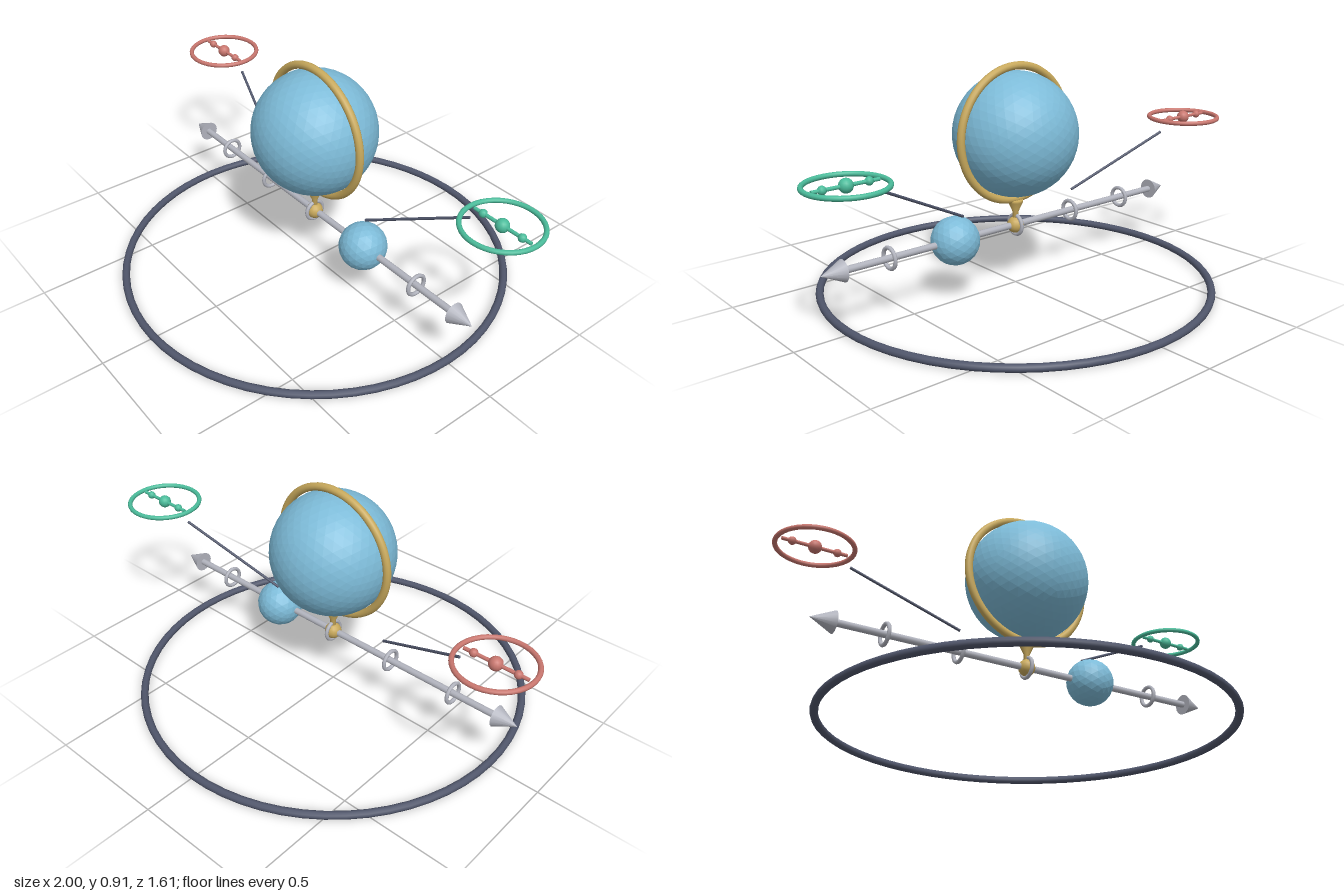
import * as THREE from 'three';

function makeMaterial(name, color, flatShading = false) {
  const m = new THREE.MeshStandardMaterial({ color, flatShading });
  m.name = name;
  return m;
}

export function createModel() {
  const blue = makeMaterial('sky blue', 0x7dbbd8, true);
  const gold = makeMaterial('brass', 0xc8a95c);
  const silver = makeMaterial('silver', 0xb2b4be);
  const slate = makeMaterial('slate', 0x50566b);
  const red = makeMaterial('coral red', 0xc9776f);
  const green = makeMaterial('sea green', 0x4bbc9b);

  const model = new THREE.Group();
  model.name = 'orbitInstrument';

  function add(parent, name, geometry, material, x = 0, y = 0, z = 0) {
    const mesh = new THREE.Mesh(geometry, material);
    mesh.name = name;
    mesh.position.set(x, y, z);
    parent.add(mesh);
    return mesh;
  }

  // Rod between two points
  function rod(parent, name, from, to, radius, material) {
    const a = new THREE.Vector3(...from), b = new THREE.Vector3(...to);
    const mesh = add(parent, name, new THREE.CylinderGeometry(radius, radius, a.distanceTo(b), 12), material);
    mesh.position.copy(a).add(b).multiplyScalar(0.5);
    mesh.quaternion.setFromUnitVectors(new THREE.Vector3(0, 1, 0), b.sub(a).normalize());
    return mesh;
  }

  // Flat ring on the ground
  add(model, 'baseRing', new THREE.TorusGeometry(0.789, 0.0155, 10, 64), slate, 0, 0.0165, 0).rotation.x = Math.PI / 2;

  // Globe in its upright brass ring
  add(model, 'globe', new THREE.IcosahedronGeometry(0.25, 7), blue, 0, 0.625, 0);
  add(model, 'globeRing', new THREE.TorusGeometry(0.268, 0.016, 12, 64), gold, 0, 0.627, 0);

  // Flared neck and hub joining the globe to the bar
  const neckProfile = [[0, 0.26], [0.012, 0.26], [0.012, 0.305], [0.03, 0.345], [0.03, 0.355], [0, 0.355]]
    .map(([x, y]) => new THREE.Vector2(x, y));
  add(model, 'neck', new THREE.LatheGeometry(neckProfile, 16), gold);
  add(model, 'hub', new THREE.SphereGeometry(0.034, 16, 10), gold, 0, 0.25, 0);

  // Horizontal bar with pointed ends, collars and a sliding ball
  const barY = 0.25;
  rod(model, 'bar', [-0.8, barY, 0], [0.8, barY, 0], 0.0135, silver);
  for (const side of [-1, 1]) {
    const tip = add(model, 'barTip', new THREE.ConeGeometry(0.043, 0.09, 16), silver, side * 0.837, barY, 0);
    tip.rotation.z = -side * Math.PI / 2;
  }
  for (const x of [-0.6, -0.3, 0, 0.3, 0.6]) {
    add(model, 'collar', new THREE.TorusGeometry(0.04, 0.008, 8, 24), silver, x, barY, 0).rotation.y = Math.PI / 2;
  }
  add(model, 'slidingBall', new THREE.IcosahedronGeometry(0.096, 3), blue, 0.302, barY, 0);

  // Side dials: a flat ring around a small beaded bar, with a slanted pointer rod
  for (const [side, material, label] of [[-1, red, 'right'], [1, green, 'left']]) {
    const dial = new THREE.Group();
    dial.name = label + 'Dial';
    dial.position.set(side * 0.843, 0.602, -0.141);
    model.add(dial);
    add(dial, 'dialRing', new THREE.TorusGeometry(0.147, 0.0095, 10, 40), material).rotation.x = Math.PI / 2;
    rod(dial, 'dialBar', [-0.128, 0, 0], [0.128, 0, 0], 0.007, material);
    add(dial, 'centreBead', new THREE.SphereGeometry(0.026, 16, 12), material);
    for (const x of [-0.088, 0.088]) add(dial, 'sideBead', new THREE.SphereGeometry(0.016, 12, 8), material, x);

    rod(model, label + 'Pointer', [side * 0.283, 0.35, -0.026], [side * 0.7, 0.554, -0.139], 0.0055, slate);
  }

  return model;
}
